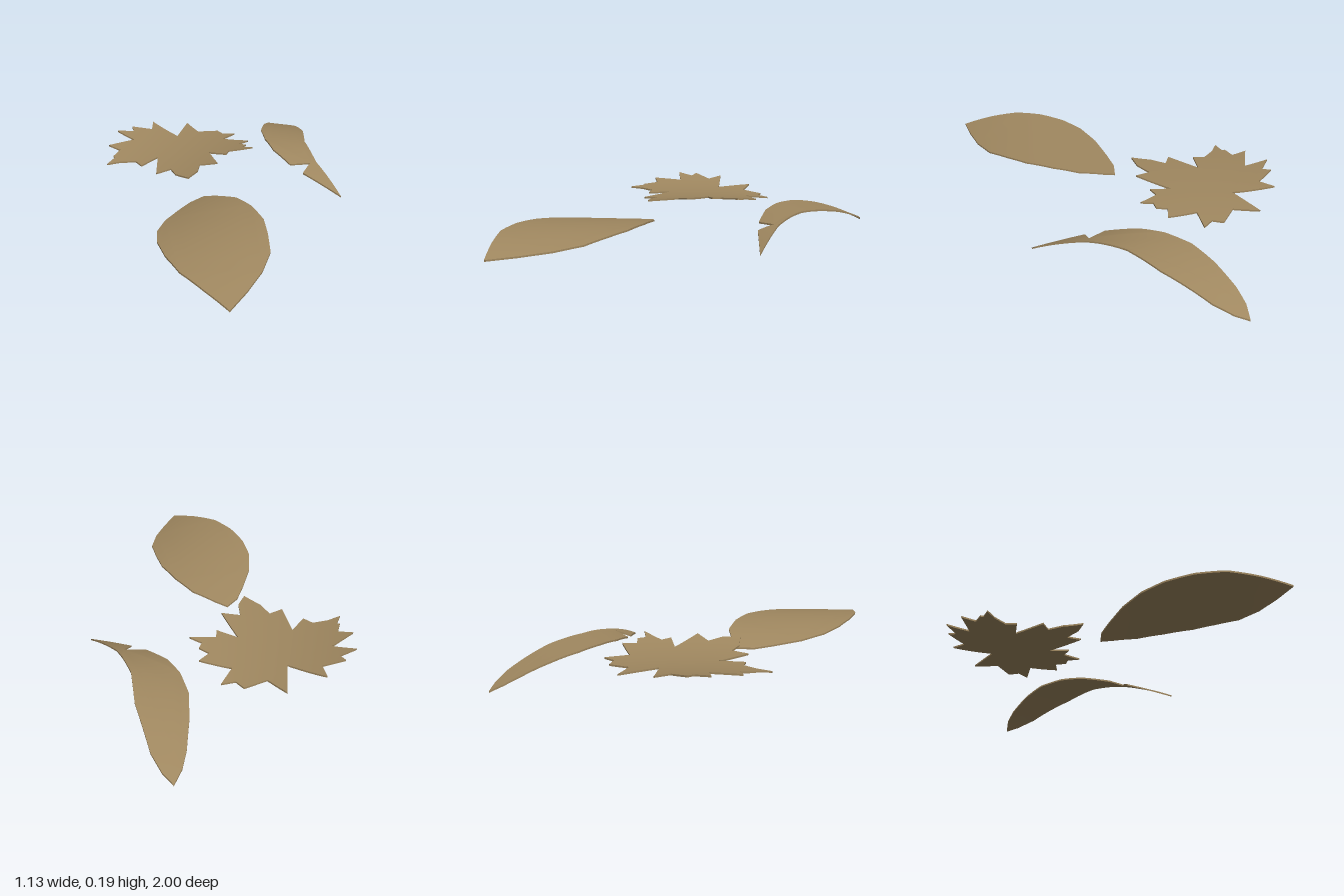
import * as THREE from 'three';
import { mergeVertices, mergeGeometries } from 'three/addons/utils/BufferGeometryUtils.js';

const THICKNESS = 0.008;
const LEVELS = 3; // each level splits every triangle in four

// Builds a thin curved sheet from an [x, z] outline and a height rule
function leafGeometry(outline, height) {
  const contour = outline.map(([x, z]) => new THREE.Vector2(x, -z));
  if (THREE.ShapeUtils.isClockWise(contour)) contour.reverse();

  let tris = THREE.ShapeUtils.triangulateShape(contour, []).map((f) => f.map((i) => contour[i]));
  const mid = (a, b) => new THREE.Vector2((a.x + b.x) / 2, (a.y + b.y) / 2);
  for (let l = 0; l < LEVELS; l++) {
    tris = tris.flatMap(([a, b, c]) => {
      const ab = mid(a, b), bc = mid(b, c), ca = mid(c, a);
      return [[a, ab, ca], [ab, b, bc], [ca, bc, c], [ab, bc, ca]];
    });
  }

  const top = (p) => [p.x, height(p.x, -p.y), -p.y];
  const under = (p) => [p.x, height(p.x, -p.y) - THICKNESS, -p.y];
  const surface = (positions) => {
    let g = new THREE.BufferGeometry();
    g.setAttribute('position', new THREE.Float32BufferAttribute(positions, 3));
    g = mergeVertices(g, 1e-5);
    g.computeVertexNormals();
    return g;
  };

  const upper = surface(tris.flatMap((t) => t.flatMap(top)));
  const lower = surface(tris.flatMap(([a, b, c]) => [a, c, b].flatMap(under)));

  // Rim joining both faces
  const rim = [];
  const steps = 2 ** LEVELS;
  contour.forEach((p, i) => {
    const q = contour[(i + 1) % contour.length];
    for (let s = 0; s < steps; s++) {
      const a = p.clone().lerp(q, s / steps);
      const b = p.clone().lerp(q, (s + 1) / steps);
      rim.push(...under(a), ...under(b), ...top(b), ...under(a), ...top(b), ...top(a));
    }
  });
  return mergeGeometries([upper, lower, surface(rim)]);
}

// Broad oval leaf, arched along a slanting axis
const oval = [
  [-0.12, 0.01], [-0.07, 0.045], [0.02, 0.13], [0.07, 0.25], [0.1, 0.39], [0.095, 0.51],
  [0.08, 0.64], [0.02, 0.765], [-0.065, 0.885], [-0.155, 0.995], [-0.24, 0.89], [-0.325, 0.77],
  [-0.37, 0.64], [-0.39, 0.505], [-0.38, 0.385], [-0.33, 0.26], [-0.25, 0.14], [-0.19, 0.06],
];
const ovalHeight = (x, z) => 0.145 - 0.26 * (z - 0.5 + 0.75 * (x + 0.14)) ** 2;

// Lobed leaf with jagged points, gently twisted
const lobed = [
  [-0.185, -0.045], [-0.13, -0.11], [-0.11, -0.19], [-0.025, -0.165], [-0.04, -0.345], [0.04, -0.28],
  [0.06, -0.325], [0.18, -0.31], [0.135, -0.35], [0.16, -0.38], [0.125, -0.42], [0.185, -0.455],
  [0.06, -0.535], [0.14, -0.615], [0.075, -0.62], [0.055, -0.67], [-0.055, -0.66], [-0.1, -0.775],
  [-0.175, -0.6], [-0.29, -0.76], [-0.305, -0.675], [-0.41, -0.69], [-0.405, -0.645], [-0.49, -0.635],
  [-0.41, -0.555], [-0.545, -0.495], [-0.49, -0.45], [-0.53, -0.39], [-0.52, -0.38], [-0.565, -0.32],
  [-0.495, -0.335], [-0.42, -0.33], [-0.395, -0.28], [-0.305, -0.355], [-0.33, -0.175], [-0.255, -0.2],
  [-0.24, -0.125],
];
const lobedHeight = (x, z) => {
  const u = x + 0.18, v = z + 0.45;
  return 0.147 + 0.45 * u * v + 0.1 * u * u + 0.12 * v * v;
};

// Narrow curled leaf with a torn tail, drooping at both ends
const curled = [
  [0.475, -1], [0.505, -0.94], [0.525, -0.85], [0.52, -0.605], [0.485, -0.42], [0.49, -0.29],
  [0.497, -0.21], [0.565, 0.025], [0.415, -0.16], [0.465, -0.215], [0.365, -0.235], [0.305, -0.37],
  [0.285, -0.495], [0.29, -0.63], [0.33, -0.76], [0.385, -0.89], [0.425, -0.955],
];
const curledHeight = (x, z) => {
  const s = z + 0.45 - 0.5 * (x - 0.4);
  return 0.146 - (s > 0 ? 0.7 : 0.4) * s * s;
};

export function createModel() {
  const group = new THREE.Group();
  group.name = 'fallenLeaves';
  const material = new THREE.MeshStandardMaterial({ color: 0xa08860 });
  const leaves = [
    ['ovalLeaf', oval, ovalHeight],
    ['lobedLeaf', lobed, lobedHeight],
    ['curledLeaf', curled, curledHeight],
  ];
  for (const [name, outline, height] of leaves) {
    const mesh = new THREE.Mesh(leafGeometry(outline, height), material);
    mesh.name = name;
    group.add(mesh);
  }
  return group;
}
